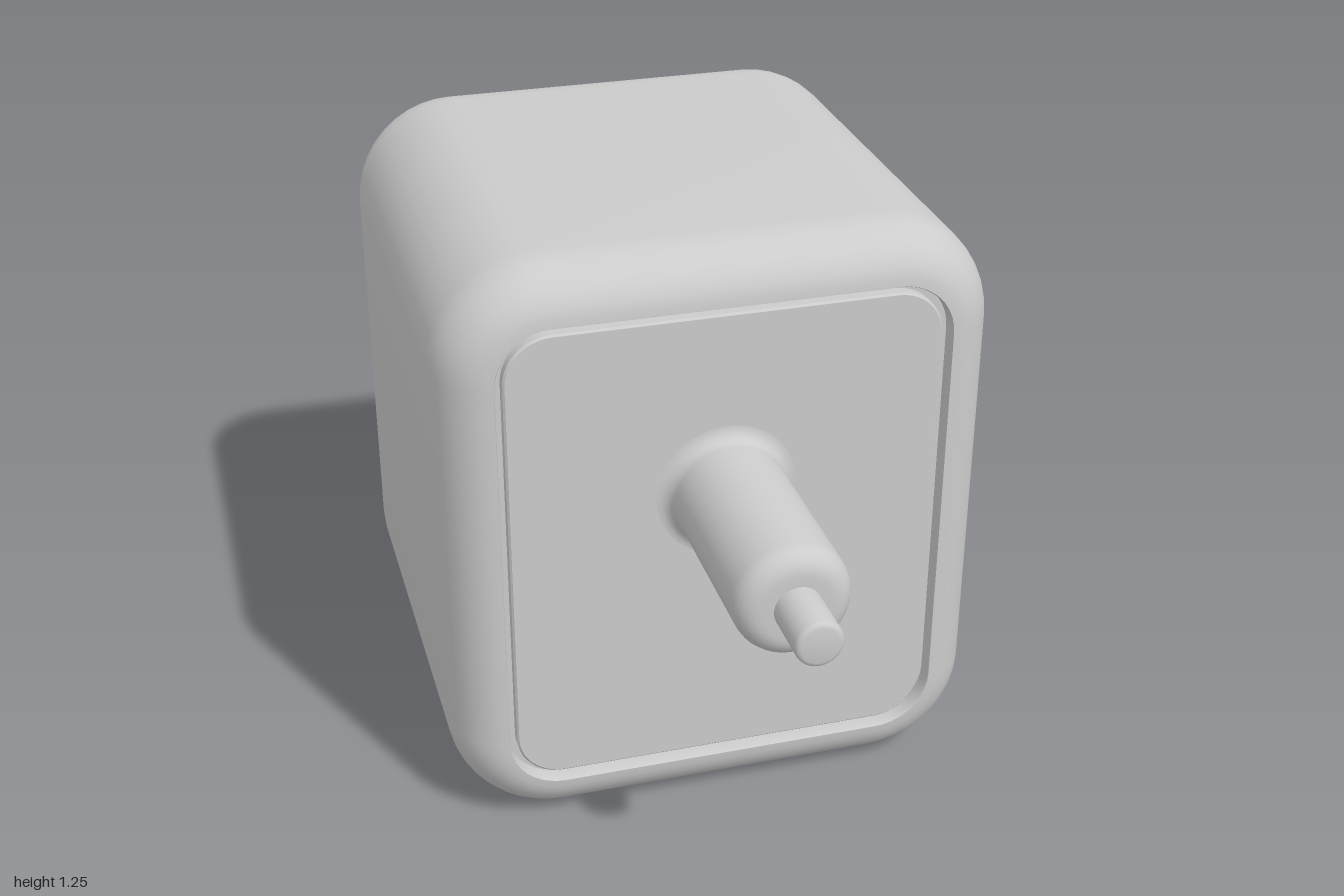
import * as THREE from 'three';
import { toCreasedNormals } from 'three/addons/utils/BufferGeometryUtils.js';
import { RoundedBoxGeometry } from 'three/addons/geometries/RoundedBoxGeometry.js';

const material = new THREE.MeshStandardMaterial({ color: 0xcccccc });

// Smooth normals with sharp edges kept (scaled up so small details stay distinct)
function crease(geometry, angle = 0.6) {
  geometry.scale(100, 100, 100);
  const result = toCreasedNormals(geometry, angle);
  return result.scale(0.01, 0.01, 0.01);
}

// Outline of a rounded rectangle, counter-clockwise seen from +z
function roundedRing([hw, hh, r, z], steps = 10) {
  const ring = [];
  const corners = [[1, 1], [-1, 1], [-1, -1], [1, -1]];
  corners.forEach(([sx, sy], q) => {
    for (let i = 0; i <= steps; i++) {
      const a = (q + i / steps) * Math.PI / 2;
      ring.push([sx * (hw - r) + r * Math.cos(a), sy * (hh - r) + r * Math.sin(a), z]);
    }
  });
  return ring;
}

// Skin through sections [halfWidth, halfHeight, radius, z]; zero size closes an end
function loft(sections) {
  const rings = sections.map((s) => roundedRing(s));
  const pos = [];
  const n = rings[0].length;
  for (let i = 0; i < rings.length - 1; i++) {
    for (let j = 0; j < n; j++) {
      const k = (j + 1) % n;
      const a = rings[i][j], b = rings[i][k], c = rings[i + 1][k], d = rings[i + 1][j];
      if (sections[i + 1][0] > 0) pos.push(...a, ...d, ...c);
      if (sections[i][0] > 0) pos.push(...a, ...c, ...b);
    }
  }
  const g = new THREE.BufferGeometry();
  g.setAttribute('position', new THREE.Float32BufferAttribute(pos, 3));
  return crease(g);
}

function addMesh(group, name, geometry, x, y, z) {
  const mesh = new THREE.Mesh(geometry, material);
  mesh.name = name;
  mesh.position.set(x, y, z);
  group.add(mesh);
  return mesh;
}

// Housing: rounded block with an inset, grooved panel at both ends
function housingGeometry() {
  const W = 0.56, H = 0.6225, R = 0.22, front = 0.455, back = -0.645;
  const inset = 0.105, depth = 0.13, steps = 10;
  const section = (d, z) => [W - d, H - d, R - d, z];
  const end = (z, dir) => {
    const list = [
      [0, 0, 0, z - dir * 0.01],
      section(inset + 0.022, z - dir * 0.01),
      section(inset + 0.018, z - dir * 0.014),
      section(inset + 0.018, z - dir * 0.035),
      section(inset + 0.002, z - dir * 0.035),
      section(inset + 0.002, z - dir * 0.004),
    ];
    for (let i = 0; i <= steps; i++) {
      const a = (i / steps) * Math.PI / 2;
      list.push(section(inset * (1 - Math.sin(a)), z - dir * depth * (1 - Math.cos(a))));
    }
    return list;
  };
  return loft([...end(front, 1), ...end(back, -1).reverse()]);
}

// Front post: flared foot, straight barrel, rounded shoulder, thin tip
function postGeometry() {
  const arc = (cx, cy, r, a0, a1, n = 6) => Array.from({ length: n + 1 }, (_, i) => {
    const a = a0 + (a1 - a0) * i / n;
    return new THREE.Vector2(cx + r * Math.cos(a), cy + r * Math.sin(a));
  });
  const points = [
    new THREE.Vector2(0.143, 0.42),
    ...arc(0.143, 0.475, 0.03, Math.PI * 1.5, Math.PI),
    ...arc(0.068, 0.835, 0.045, 0, Math.PI / 2),
    new THREE.Vector2(0.046, 0.88),
    ...arc(0.036, 0.99, 0.01, 0, Math.PI / 2, 3),
    new THREE.Vector2(0, 1),
  ];
  return crease(new THREE.LatheGeometry(points, 48).rotateX(Math.PI / 2));
}

// Rear plug: flaring rectangular sleeve with a deep socket
function plugGeometry() {
  return loft([
    [0.16, 0.085, 0.018, -0.6],
    [0.184, 0.085, 0.018, -0.982],
    [0.181, 0.082, 0.016, -0.994],
    [0.174, 0.075, 0.014, -1.0],
    [0.158, 0.058, 0.012, -1.0],
    [0.154, 0.054, 0.01, -0.994],
    [0.142, 0.054, 0.01, -0.8],
    [0, 0, 0, -0.8],
  ]);
}

export function createModel() {
  const model = new THREE.Group();
  model.name = 'plugBlock';

  addMesh(model, 'housing', housingGeometry(), 0, 0.6225, 0);
  addMesh(model, 'frontPost', postGeometry(), 0, 0.74, 0);

  const plug = new THREE.Group();
  plug.name = 'rearPlug';
  plug.position.y = 0.635;
  model.add(plug);
  addMesh(plug, 'sleeve', plugGeometry(), 0, 0, 0);
  // Contact tongue inside the socket
  addMesh(plug, 'tongue', new RoundedBoxGeometry(0.25, 0.035, 0.18, 2, 0.006), 0, -0.012, -0.88);

  return model;
}
